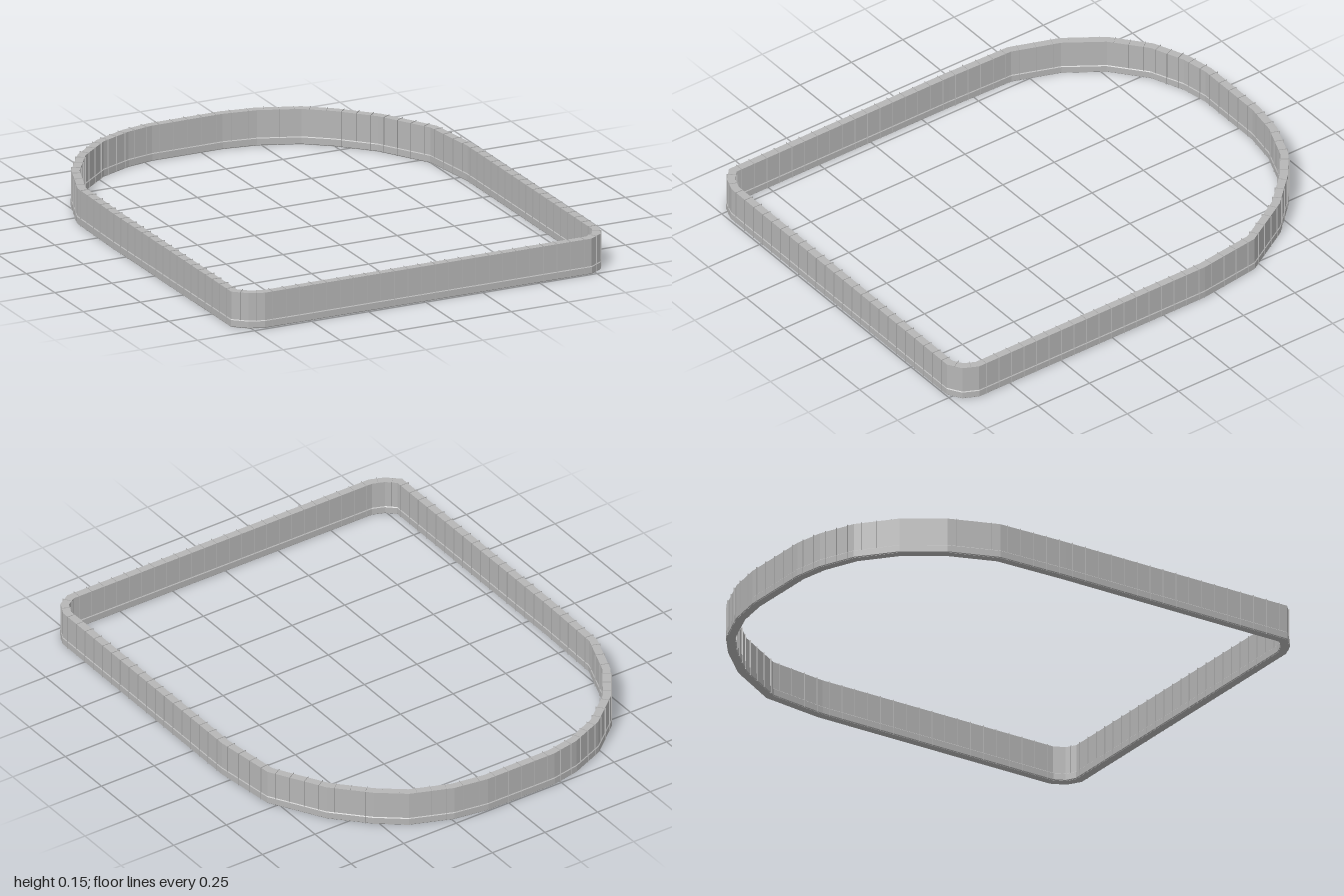
import * as THREE from 'three';
import { mergeGeometries } from 'three/addons/utils/BufferGeometryUtils.js';

const WALL = 0.032, HEIGHT = 0.147, LIP = 0.034, FIN_REACH = 0.005, FIN_STEP = 0.06;

// Outer outline as [x, z]: square front with clipped corners, arched back
const OUTLINE = [
  [-0.812, 0.92], [-0.76, 0.967], [-0.70, 0.99], [0.73, 0.994], [0.785, 0.96], [0.814, 0.90],
  [0.814, -0.20], [0.78, -0.465], [0.65, -0.685], [0.52, -0.82], [0.41, -0.905],
  [0.24, -0.972], [0.095, -0.995], [-0.22, -0.995], [-0.34, -0.972], [-0.487, -0.91],
  [-0.63, -0.79], [-0.735, -0.635], [-0.808, -0.434], [-0.815, -0.13],
].map(([x, z]) => new THREE.Vector2(x, z));

// Mitred inward offset of the closed outline
function inset(points, d) {
  const n = points.length;
  const normal = (a, b) => {
    const t = b.clone().sub(a).normalize();
    return new THREE.Vector2(t.y, -t.x);
  };
  return points.map((p, i) => {
    const n1 = normal(points[(i + n - 1) % n], p);
    const n2 = normal(p, points[(i + 1) % n]);
    const m = n1.clone().add(n2);
    return p.clone().addScaledVector(m, d / (1 + n1.dot(n2)));
  });
}

// Upright ring between two offsets of the outline, with chamfered edges if asked.
// Outline and hole run in opposite directions so both walls face outwards.
function ring(outer, inner, height, chamfer = 0) {
  const shape = new THREE.Shape(inset(OUTLINE, outer).reverse());
  shape.holes.push(new THREE.Path(inset(OUTLINE, inner)));
  const geo = new THREE.ExtrudeGeometry(shape, {
    depth: height - 2 * chamfer,
    bevelEnabled: chamfer > 0,
    bevelThickness: chamfer,
    bevelSize: chamfer,
    bevelOffset: -chamfer,
    bevelSegments: 1,
  });
  return geo.rotateX(Math.PI / 2).translate(0, height - chamfer, 0);
}

export function createModel() {
  const group = new THREE.Group();
  const grey = new THREE.MeshStandardMaterial({ color: 0xb6b6b6, side: THREE.DoubleSide });
  grey.name = 'wall grey';

  const add = (name, geo) => {
    const mesh = new THREE.Mesh(geo, grey);
    mesh.name = name;
    group.add(mesh);
  };

  // Main wall and the slightly wider chamfered strip around its foot
  add('wall', ring(0, WALL, HEIGHT));
  add('footStrip', ring(-0.003, WALL + 0.003, LIP, 0.004));

  // Paper-thin fins across the wall, evenly spaced along each side
  const centre = inset(OUTLINE, WALL / 2);
  const fins = [];
  centre.forEach((a, i) => {
    const b = centre[(i + 1) % centre.length];
    const count = Math.max(1, Math.round(a.distanceTo(b) / FIN_STEP));
    const angle = Math.PI / 2 - Math.atan2(b.y - a.y, b.x - a.x);
    for (let k = 0; k < count; k++) {
      const p = a.clone().lerp(b, (k + 0.5) / count);
      const fin = new THREE.PlaneGeometry(WALL + 2 * FIN_REACH, 0.15);
      fins.push(fin.rotateY(angle).translate(p.x, 0.075, p.y));
    }
  });
  add('fins', mergeGeometries(fins));

  return group;
}
